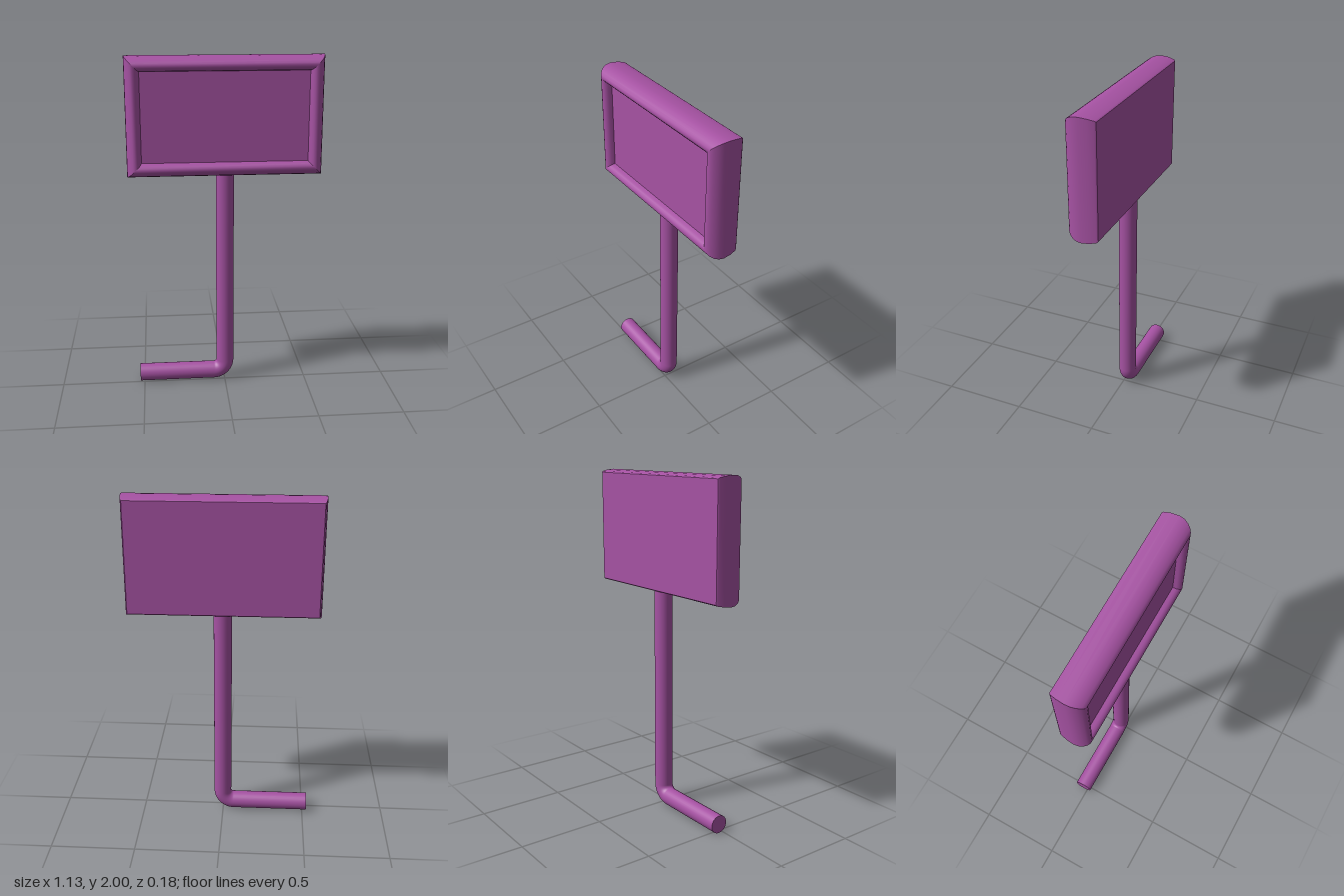
import * as THREE from 'three';

const W = 0.563, H = 0.3425, CY = 1.6575; // sign half width, half height, centre height
const R = 0.053, BEND = 0.07, PX = 0.003, PZ = -0.027; // pipe radius, bend radius, pole position

// Frame cross-section from the back edge round to the recess: [inset, z]
const PROFILE = [
  [0.018, -0.09], [0.012, -0.082], [0.004, -0.045], [0, 0], [0.003, 0.03], [0.012, 0.055],
  [0.025, 0.075], [0.038, 0.086], [0.05, 0.09], [0.063, 0.087], [0.074, 0.078], [0.081, 0.065], [0.085, 0.045],
];
const CORNERS = [[-1, -1], [1, -1], [1, 1], [-1, 1]];

// One mitred side of the frame, smooth along its profile
function frameSide(a, b) {
  const pos = [], index = [];
  PROFILE.forEach(([d, z], i) => {
    for (const [sx, sy] of [a, b]) pos.push(sx * (W - d), sy * (H - d), z);
    if (i) {
      const k = 2 * (i - 1);
      index.push(k, k + 1, k + 3, k, k + 3, k + 2);
    }
  });
  const g = new THREE.BufferGeometry();
  g.setAttribute('position', new THREE.Float32BufferAttribute(pos, 3));
  g.setIndex(index);
  g.computeVertexNormals();
  return g;
}

export function createModel() {
  const model = new THREE.Group();
  model.name = 'signOnBentPole';
  const purple = new THREE.MeshStandardMaterial({ color: 0xa652a3 });
  purple.name = 'purple';

  const add = (parent, name, geometry, x = 0, y = 0, z = 0) => {
    const mesh = new THREE.Mesh(geometry, purple);
    mesh.name = name;
    mesh.position.set(x, y, z);
    parent.add(mesh);
    return mesh;
  };

  // Sign: rounded frame, recessed front panel and flat back
  const sign = new THREE.Group();
  sign.name = 'sign';
  sign.position.y = CY;
  model.add(sign);
  const names = ['frameBottom', 'frameLeft', 'frameTop', 'frameRight'];
  names.forEach((n, i) => add(sign, n, frameSide(CORNERS[i], CORNERS[(i + 1) % 4])));
  add(sign, 'frontPanel', new THREE.PlaneGeometry(2 * (W - 0.085), 2 * (H - 0.085)), 0, 0, 0.045);
  add(sign, 'backPanel', new THREE.PlaneGeometry(2 * (W - 0.018), 2 * (H - 0.018)).rotateY(Math.PI), 0, 0, -0.09);

  // Bent pipe: upright pole, quarter bend and foot
  const bx = PX - BEND, by = R + BEND, top = 1.36, end = -0.525;
  add(model, 'pole', new THREE.CylinderGeometry(R, R, top - by, 32), PX, (top + by) / 2, PZ);
  add(model, 'bend', new THREE.TorusGeometry(BEND, R, 32, 16, Math.PI / 2).rotateZ(-Math.PI / 2), bx, by, PZ);
  add(model, 'foot', new THREE.CylinderGeometry(R, R, bx - end, 32).rotateZ(Math.PI / 2), (bx + end) / 2, R, PZ);

  return model;
}
